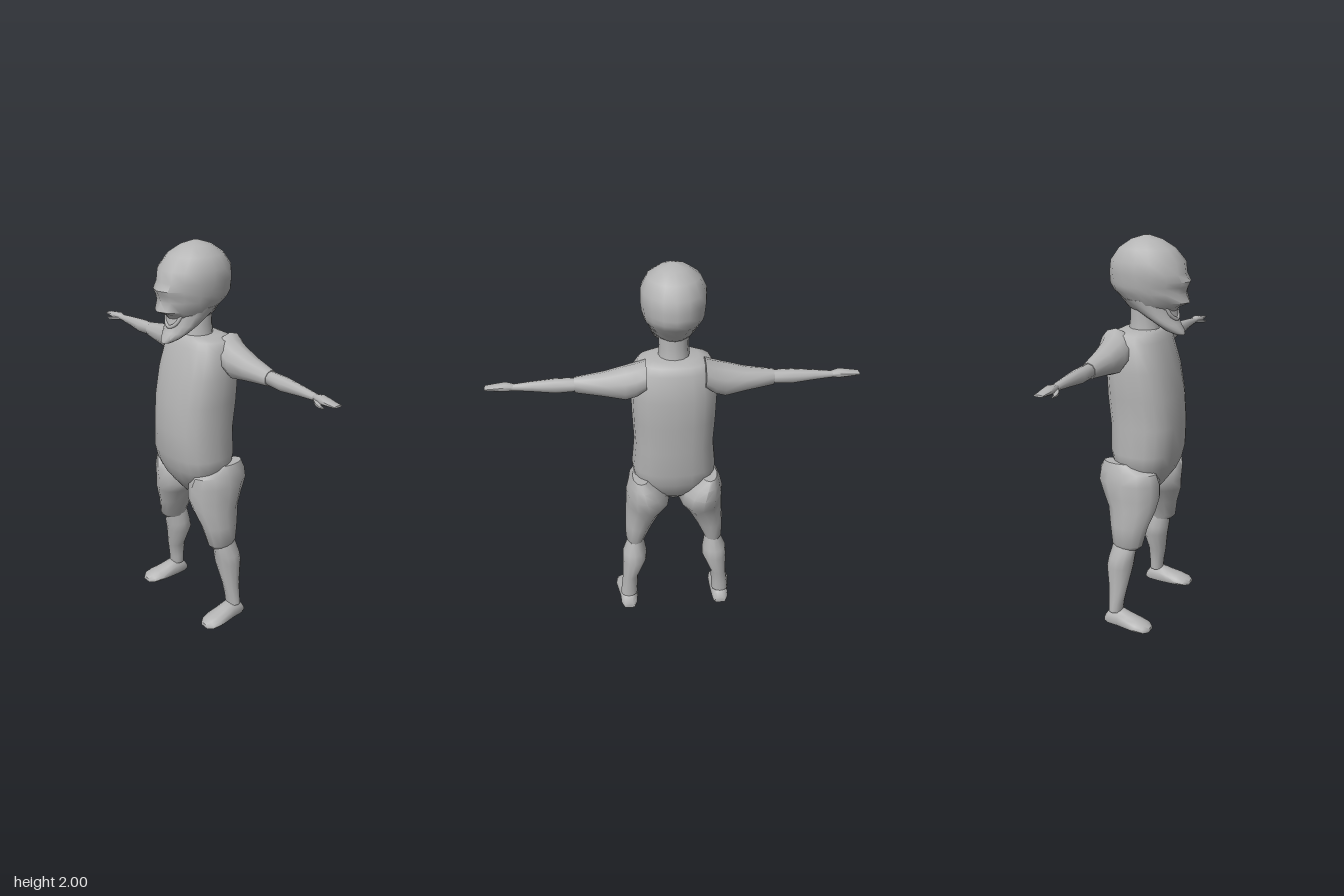
import * as THREE from 'three';
import { toCreasedNormals } from 'three/addons/utils/BufferGeometryUtils.js';

const grey = new THREE.MeshStandardMaterial({ color: 0xb4b4b4 });
grey.name = 'plain grey';

// How (t, a, b) of a ring maps to x, y, z for lofts along each axis
const AXES = {
  x: (t, a, b) => [t, a, b],
  y: (t, a, b) => [a, t, b],
  z: (t, a, b) => [a, Math.max(0, b), t], // feet: flattened on the ground
};
const pow = (v, e) => Math.sign(v) * Math.abs(v) ** e;

// Skins rings [t, aMin, aMax, bMin, bMax, point?] along an axis and caps both ends.
// power < 1 makes rings boxier; point > 1 sharpens the +b side of one ring.
function loft(name, axis, rings, { n = 12, power = 1, side = 1, crease = 0.9 } = {}) {
  const pos = [], idx = [];
  const add = (t, a, b) => {
    const [x, y, z] = AXES[axis](t, a, b);
    pos.push(x * side, y, z);
  };
  for (const [t, a0, a1, b0, b1, point = 1] of rings) {
    for (let j = 0; j < n; j++) {
      const k = (j / n) * Math.PI * 2;
      const c = Math.cos(k), s = Math.sin(k);
      add(t,
        (a0 + a1) / 2 + ((a1 - a0) / 2) * pow(c, power),
        (b0 + b1) / 2 + ((b1 - b0) / 2) * pow(s, s > 0 ? power * point : power));
    }
  }
  for (let i = 0; i < rings.length - 1; i++) {
    for (let j = 0; j < n; j++) {
      const k = (j + 1) % n;
      const A = i * n + j, B = A + n, C = (i + 1) * n + k, D = i * n + k;
      idx.push(A, B, C, A, C, D);
    }
  }
  for (const i of [0, rings.length - 1]) {
    const [t, a0, a1, b0, b1] = rings[i];
    const centre = pos.length / 3;
    add(t, (a0 + a1) / 2, (b0 + b1) / 2);
    for (let j = 0; j < n; j++) {
      const p = i * n + j, q = i * n + (j + 1) % n;
      idx.push(...(i === 0 ? [centre, p, q] : [centre, q, p]));
    }
  }
  // Turn the faces outward whichever way the loft runs
  const v = (i) => new THREE.Vector3().fromArray(pos, i * 3);
  let volume = 0;
  for (let i = 0; i < idx.length; i += 3) {
    volume += v(idx[i]).dot(v(idx[i + 1]).cross(v(idx[i + 2])));
  }
  if (volume < 0) idx.reverse();

  const geo = new THREE.BufferGeometry();
  geo.setAttribute('position', new THREE.Float32BufferAttribute(pos, 3));
  geo.setIndex(idx);
  const mesh = new THREE.Mesh(toCreasedNormals(geo, crease), grey);
  mesh.name = name;
  return mesh;
}

// Rings symmetric about x = 0: [y, halfWidth, zBack, zFront, point?]
const sym = (rows) => rows.map(([y, w, ...rest]) => [y, -w, w, ...rest]);

function createHead() {
  const head = new THREE.Group();
  head.name = 'head';
  head.add(
    // Cranium and upper face
    loft('skull', 'y', sym([
      [1.645, 0.085, -0.1, 0.14], [1.665, 0.105, -0.12, 0.155, 1.2],
      [1.69, 0.118, -0.14, 0.212, 1.5], [1.735, 0.143, -0.185, 0.19, 1.2],
      [1.765, 0.15, -0.205, 0.2, 1.3], [1.79, 0.153, -0.207, 0.212, 1.3],
      [1.825, 0.156, -0.207, 0.187], [1.88, 0.154, -0.2, 0.18],
      [1.94, 0.125, -0.155, 0.125], [1.98, 0.07, -0.095, 0.06],
      [2, 0.012, -0.03, -0.005],
    ]), { n: 16 }),
    // Pointed jaw hanging below the open mouth
    loft('jaw', 'y', sym([
      [1.532, 0.025, 0.13, 0.187], [1.55, 0.05, 0.085, 0.183, 1.3],
      [1.58, 0.078, 0.045, 0.16, 1.3], [1.615, 0.098, -0.01, 0.142, 1.2],
      [1.66, 0.11, -0.09, 0.14, 1.2], [1.7, 0.122, -0.14, 0.13],
    ]), { n: 16 }),
    loft('neck', 'y', sym([
      [1.5, 0.085, -0.12, 0.06], [1.53, 0.078, -0.11, 0.055],
      [1.6, 0.072, -0.1, 0.035], [1.68, 0.075, -0.1, 0.03],
    ])),
  );
  // Smiling lower lip
  const smile = new THREE.CatmullRomCurve3([
    [-0.058, 1.665, 0.112], [-0.04, 1.625, 0.13], [0, 1.605, 0.145],
    [0.04, 1.625, 0.13], [0.058, 1.665, 0.112],
  ].map((p) => new THREE.Vector3(...p)));
  const lip = new THREE.Mesh(new THREE.TubeGeometry(smile, 12, 0.01, 6), grey);
  lip.name = 'lowerLip';
  head.add(lip);
  return head;
}

function createArm(side) {
  const arm = new THREE.Group();
  arm.name = side > 0 ? 'leftArm' : 'rightArm';
  arm.add(
    loft('upperArm', 'x', [
      [0.14, 1.42, 1.562, -0.2, -0.04], [0.19, 1.375, 1.54, -0.19, -0.015],
      [0.24, 1.355, 1.525, -0.177, -0.015], [0.34, 1.375, 1.495, -0.158, -0.025],
      [0.48, 1.393, 1.472, -0.123, -0.047],
    ], { n: 10, side }),
    loft('forearm', 'x', [
      [0.47, 1.4, 1.468, -0.118, -0.05], [0.57, 1.395, 1.468, -0.12, -0.048],
      [0.68, 1.408, 1.458, -0.11, -0.058], [0.78, 1.417, 1.447, -0.102, -0.066],
    ], { n: 10, side }),
    // Flat hand with closed fingers
    loft('hand', 'x', [
      [0.765, 1.418, 1.447, -0.1, -0.066], [0.805, 1.415, 1.455, -0.108, -0.053],
      [0.85, 1.42, 1.448, -0.108, -0.053], [0.905, 1.428, 1.438, -0.104, -0.057],
    ], { n: 10, side, power: 0.8 }),
    loft('thumb', 'x', [
      [0.775, 1.42, 1.437, -0.085, -0.06], [0.81, 1.414, 1.434, -0.07, -0.037],
      [0.835, 1.412, 1.427, -0.054, -0.034], [0.86, 1.415, 1.423, -0.045, -0.038],
    ], { n: 6, side }),
  );
  return arm;
}

function createLeg(side) {
  const leg = new THREE.Group();
  leg.name = side > 0 ? 'leftLeg' : 'rightLeg';
  leg.add(
    loft('thigh', 'y', [
      [0.425, 0.168, 0.25, -0.105, 0.03], [0.45, 0.16, 0.265, -0.115, 0.055],
      [0.55, 0.115, 0.265, -0.135, 0.075], [0.64, 0.065, 0.26, -0.155, 0.107],
      [0.7, 0.025, 0.257, -0.19, 0.117], [0.78, 0.04, 0.255, -0.217, 0.122],
      [0.84, 0.085, 0.24, -0.205, 0.11], [0.885, 0.13, 0.22, -0.175, 0],
    ], { side }),
    loft('shin', 'y', [
      [0.07, 0.213, 0.305, -0.115, -0.04], [0.12, 0.21, 0.3, -0.115, -0.035],
      [0.2, 0.205, 0.29, -0.12, -0.018], [0.32, 0.155, 0.287, -0.14, 0.003],
      [0.37, 0.155, 0.285, -0.13, 0.012], [0.45, 0.17, 0.25, -0.112, 0.025],
    ], { side }),
    loft('foot', 'z', [
      [-0.135, 0.228, 0.29, -0.01, 0.035], [-0.11, 0.215, 0.305, -0.03, 0.072],
      [-0.05, 0.21, 0.31, -0.035, 0.085], [0, 0.209, 0.32, -0.03, 0.068],
      [0.06, 0.21, 0.33, -0.025, 0.052], [0.105, 0.22, 0.325, -0.02, 0.038],
      [0.13, 0.245, 0.3, -0.01, 0.02],
    ], { side }),
  );
  return leg;
}

export function createModel() {
  const model = new THREE.Group();
  model.name = 'figure';
  model.add(
    createHead(),
    loft('torso', 'y', sym([
      [0.688, 0.02, -0.03, 0.04], [0.75, 0.1, -0.1, 0.09],
      [0.8, 0.165, -0.14, 0.125], [0.86, 0.21, -0.165, 0.15],
      [0.93, 0.217, -0.18, 0.167], [1.07, 0.203, -0.185, 0.174],
      [1.22, 0.21, -0.198, 0.162], [1.36, 0.213, -0.2, 0.134],
      [1.5, 0.198, -0.185, 0.09], [1.535, 0.175, -0.165, 0.07],
      [1.55, 0.12, -0.13, 0.055],
    ]), { n: 20, power: 0.8 }),
  );
  for (const side of [1, -1]) model.add(createArm(side), createLeg(side));
  return model;
}
